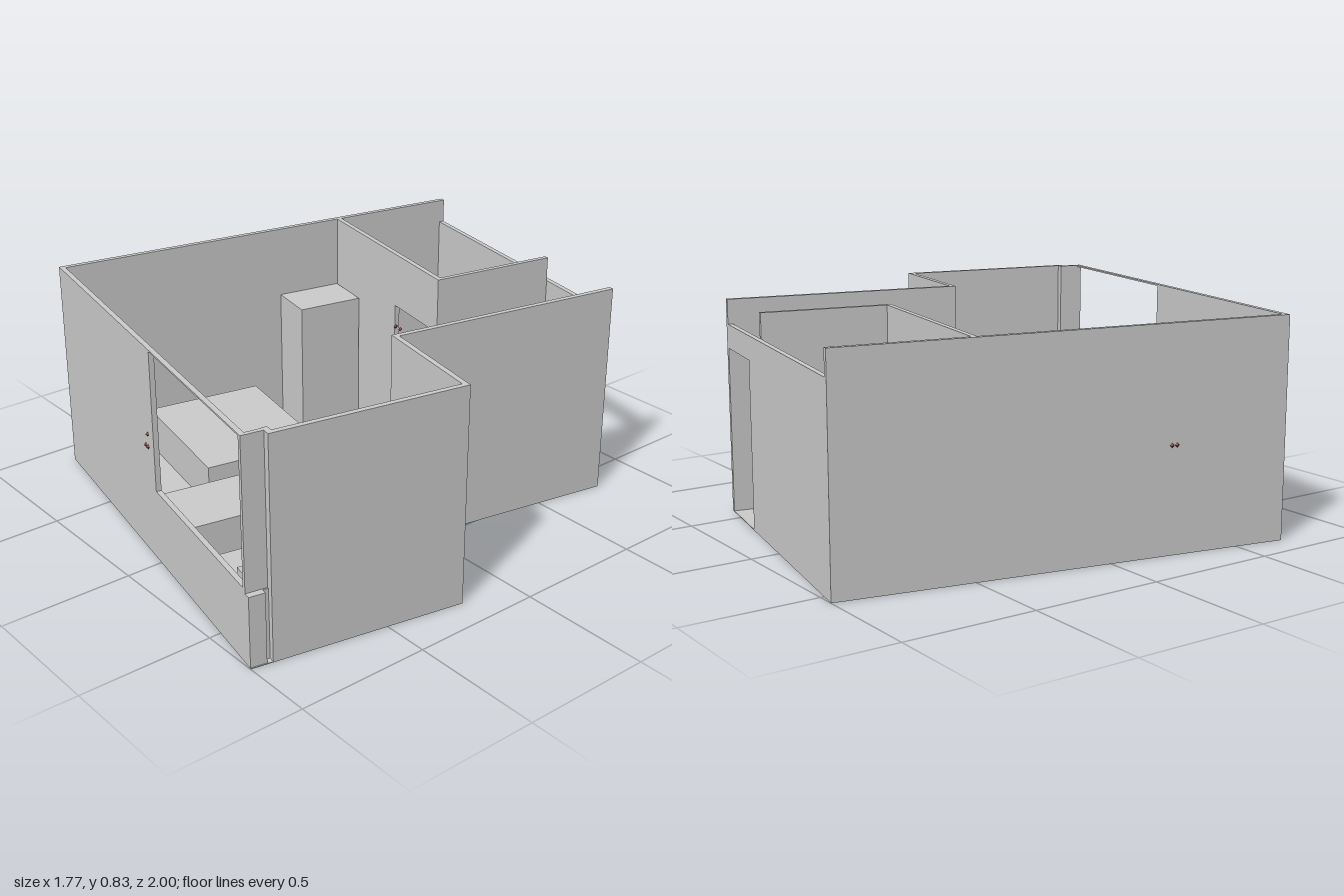
import * as THREE from 'three';

const H = 0.83;   // wall height
const T = 0.02;   // wall thickness
const W = 1.652;  // plan width
const D = 1.72;   // plan depth
const NX = 1.2;   // notch corner
const NZ = 0.915;

export function createModel() {
  const model = new THREE.Group();
  model.name = 'apartment';

  // The plan is laid out square from its back left corner, then turned.
  const plan = new THREE.Group();
  plan.name = 'plan';
  plan.position.set(-0.57, 0, -1);
  plan.rotation.y = THREE.MathUtils.degToRad(-10.8);
  model.add(plan);

  const grey = new THREE.MeshStandardMaterial({ color: 0xcccccc });
  const red = new THREE.MeshStandardMaterial({ color: 0x8c3030 });

  const add = (name, geometry, material = grey) => {
    const mesh = new THREE.Mesh(geometry, material);
    mesh.name = name;
    plan.add(mesh);
    return mesh;
  };

  // Box given by its plan limits and heights
  const block = (name, x0, x1, z0, z1, y0, y1) =>
    add(name, new THREE.BoxGeometry(x1 - x0, y1 - y0, z1 - z0))
      .position.set((x0 + x1) / 2, (y0 + y1) / 2, (z0 + z1) / 2);

  // Upright panel along x, outlined by points (x, y), so doorways are part of the outline
  const panel = (name, points, z) => {
    const shape = new THREE.Shape(points.map(([x, y]) => new THREE.Vector2(x, y)));
    const geometry = new THREE.ExtrudeGeometry(shape, { depth: T, bevelEnabled: false });
    add(name, geometry).position.z = z;
  };

  // Floor slab with the notch at the back right
  const outline = [[0, 0], [NX, 0], [NX, NZ], [W, NZ], [W, D], [0, D]];
  const floor = new THREE.ExtrudeGeometry(
    new THREE.Shape(outline.map(([x, z]) => new THREE.Vector2(x, z))),
    { depth: 0.003, bevelEnabled: false });
  floor.rotateX(Math.PI / 2).translate(0, 0.003, 0);
  add('floor', floor);

  // Outer walls
  block('leftWall', 0, T, 0, D, 0, H);
  block('backRightWall', NX - T, NX, 0, NZ + T, 0, H);
  block('notchWall', NX, W, NZ, NZ + T, 0, H);
  block('rightWall', W - T, W, NZ + T, 1.64, 0, H);

  // Lower back wall with the entrance doorway
  panel('backWall', [[T, 0], [0.9, 0], [0.9, 0.643], [NX - T, 0.643],
    [NX - T, 0.735], [T, 0.735]], 0);

  // Front wall with the wide window, sill height 0.285
  panel('frontWall', [[T, 0], [1.608, 0], [1.608, 0.285], [0.897, 0.285],
    [0.897, H], [T, H]], D - T);
  block('windowRail', 0.897, 1.608, D - T, D, H - 0.006, H);

  // Recessed corner beside the window
  block('cornerReturn', 1.605, W - T, 1.62, 1.64, 0, H);
  block('cornerPost', 1.608, 1.624, 1.64, D, 0, H);
  block('cornerKerb', 1.624, W - 0.003, 1.66, D, 0, 0.27);

  // Bathroom partitions
  panel('bathroomFrontWall', [[T, 0], [0.5, 0], [0.5, 0.615], [0.785, 0.615],
    [0.785, 0], [0.815, 0], [0.815, H], [T, H]], 0.5);
  block('bathroomSideWall', 0.797, 0.815, T, 0.5, 0, H);

  // Furniture: name, centre x, centre z, width, depth, height
  const furniture = [
    ['toilet', 0.412, 0.122, 0.13, 0.2, 0.21],
    ['washstand', 0.659, 0.084, 0.195, 0.125, 0.26],
    ['wardrobe', 0.117, 0.656, 0.19, 0.265, 0.545],
    ['bed', 0.337, 1.165, 0.575, 0.475, 0.17],
    ['table', 1.016, 1.503, 0.27, 0.393, 0.26],
    ['bench', 1.391, 1.541, 0.17, 0.285, 0.23],
    ['cabinet', 1.548, 1.607, 0.162, 0.135, 0.27],
    ['chair', 1.51, 1.146, 0.14, 0.18, 0.16],
    ['counter', 1.462, 1.003, 0.315, 0.135, 0.26],
  ];
  for (const [name, x, z, w, d, h] of furniture) {
    block(name, x - w / 2, x + w / 2, z - d / 2, z + d / 2, 0.002, h);
  }

  // Small red wall fittings
  const fittings = [
    [0.847, 0.49, D], [0.826, 0.44, D], [0.847, 0.44, D],  // front wall, outside
    [0.68, 0.59, D - T - 0.004],                           // front wall, inside
    [-0.003, 0.40, 1.27], [-0.003, 0.40, 1.25],            // left wall
    [0.513, 0.53, 0.523], [0.545, 0.53, 0.521],            // bathroom wall
  ];
  for (const [x, y, z] of fittings) {
    add('wallFitting', new THREE.OctahedronGeometry(0.009), red).position.set(x, y, z);
  }

  return model;
}
